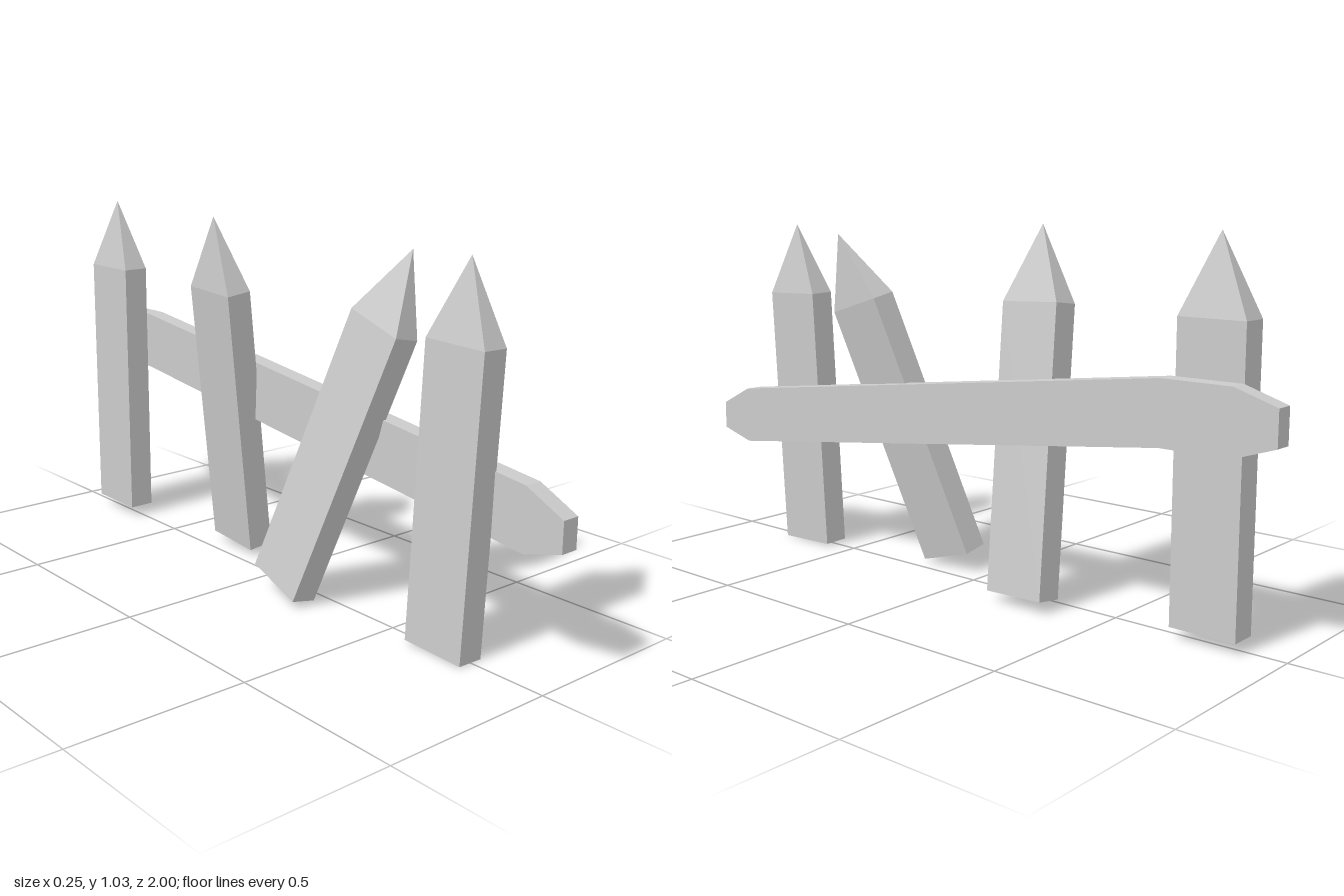
import * as THREE from 'three';

const material = new THREE.MeshStandardMaterial({ color: 0xcccccc, flatShading: true });

// Unit-height picket: rectangular post ending in a four-sided point.
function picketGeometry(thickness, width) {
  const r = Math.SQRT1_2;
  const profile = [[0, 0], [r, 0], [r, 0.79], [0, 1]].map(([x, y]) => new THREE.Vector2(x, y));
  return new THREE.LatheGeometry(profile, 4).rotateY(Math.PI / 4).scale(thickness, 1, width);
}

// Stands a picket from its base centre to its tip; twist turns its broad face.
function addPicket(group, geometry, name, base, tip, twist) {
  const foot = new THREE.Vector3(...base);
  const up = new THREE.Vector3(...tip).sub(foot);
  const height = up.length();
  up.normalize();
  const across = new THREE.Vector3(twist, 0, 1);
  const out = new THREE.Vector3().crossVectors(up, across).normalize();
  across.crossVectors(out, up);
  const picket = new THREE.Mesh(geometry, material);
  picket.name = name;
  picket.quaternion.setFromRotationMatrix(new THREE.Matrix4().makeBasis(out, up, across));
  picket.position.copy(foot);
  picket.scale.y = height;
  group.add(picket);
}

export function createModel() {
  const group = new THREE.Group();
  group.name = 'brokenFence';

  // Four pickets, each leaning its own way
  const geometry = picketGeometry(0.077, 0.19);
  const pickets = [
    ['frontPicket', [-0.003, 0.004, 0.68], [0.021, 1.01, 0.71], 0],
    ['leaningPicket', [-0.08, 0.04, 0.147], [0.1, 0.99, 0.44], -0.02],
    ['tiltedPicket', [0.08, 0.028, -0.245], [-0.05, 1.03, -0.205], -0.05],
    ['backPicket', [0.002, 0.03, -0.785], [0.002, 1.03, -0.785], 0],
  ];
  pickets.forEach((p) => addPicket(group, geometry, ...p));

  // Sloping cross rail with tapered ends, outlined as (z, y)
  const outline = [
    [1, 0.425], [1, 0.342], [0.885, 0.31], [-0.68, 0.5], [-0.88, 0.5],
    [-1, 0.54], [-1, 0.635], [-0.88, 0.673], [-0.68, 0.673], [0.885, 0.482],
  ].map(([z, y]) => new THREE.Vector2(z, y));
  const railGeometry = new THREE.ExtrudeGeometry(new THREE.Shape(outline), { depth: 0.052, bevelEnabled: false });
  railGeometry.rotateY(-Math.PI / 2).translate(0.095, 0, 0);
  const rail = new THREE.Mesh(railGeometry, material);
  rail.name = 'crossRail';
  group.add(rail);

  return group;
}
